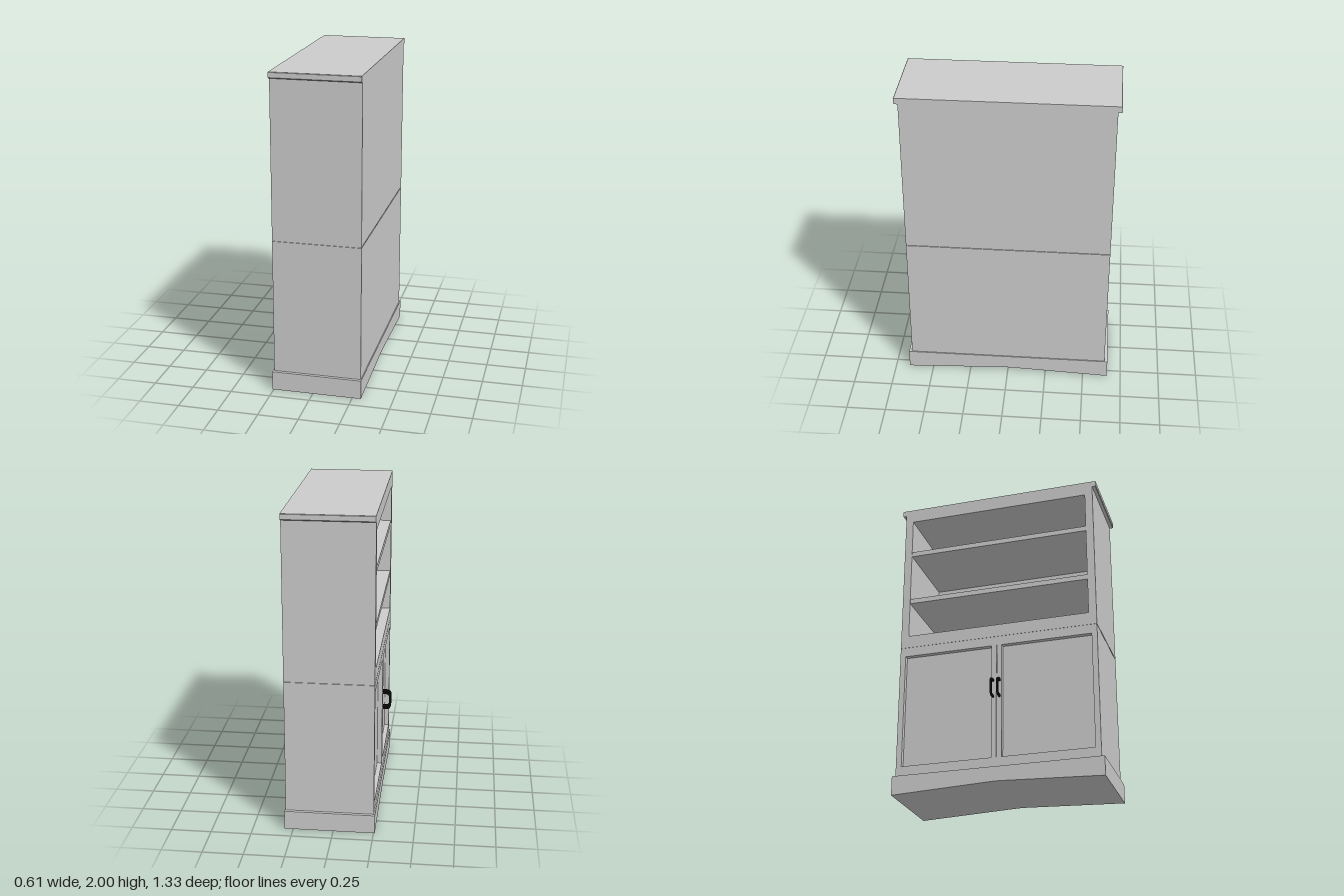
import * as THREE from 'three';

const FRONT = -0.25, BACK = 0.298, END = 0.64; // doors and shelves face -x

export function createModel() {
  const cabinet = new THREE.Group();
  cabinet.name = 'cabinet';
  const grey = new THREE.MeshStandardMaterial({ color: 0xcccccc });
  const black = new THREE.MeshStandardMaterial({ color: 0x111111 });

  const add = (name, geometry, material = grey) => {
    const mesh = new THREE.Mesh(geometry, material);
    mesh.name = name;
    cabinet.add(mesh);
    return mesh;
  };
  // Box given by its limits on each axis
  const box = (name, x0, x1, y0, y1, z0, z1) =>
    add(name, new THREE.BoxGeometry(x1 - x0, y1 - y0, z1 - z0)
      .translate((x0 + x1) / 2, (y0 + y1) / 2, (z0 + z1) / 2));
  // Counter-clockwise outline in z and y (alike in +z and -z), extruded from x0 to x1
  const polygon = (points) => points.map(([z, y]) => new THREE.Vector2(z, y));
  const slab = (name, x0, x1, outline, holes = []) => {
    const shape = new THREE.Shape(polygon(outline));
    holes.forEach((h) => shape.holes.push(new THREE.Path(polygon(h))));
    const geometry = new THREE.ExtrudeGeometry(shape, { depth: x1 - x0, bevelEnabled: false });
    return add(name, geometry.rotateY(Math.PI / 2).translate(x0, 0, 0));
  };
  const rect = (z0, z1, y0, y1) => [[z0, y0], [z1, y0], [z1, y1], [z0, y1]];

  // Plinth with a shallow arched underside
  slab('plinth', -0.258, 0.304, [
    [-0.66, 0], [-0.6, 0.003], [-0.02, 0.028], [0.02, 0.028], [0.6, 0.003], [0.66, 0],
    [0.66, 0.12], [-0.66, 0.12],
  ]);

  // Lower cupboard: solid carcass behind a door frame with sunken panels and a centre seam
  const recess = 0.03;
  box('lowerCarcass', FRONT + recess, BACK, 0.12, 0.97, -END, END);
  slab('doorFrame', FRONT, FRONT + recess, rect(-END, END, 0.12, 0.97), [
    rect(-0.605, -0.032, 0.18, 0.915),
    rect(-0.0015, 0.0015, 0.18, 0.915),
    rect(0.032, 0.605, 0.18, 0.915),
  ]);

  // Narrow groove between the two halves
  box('groove', FRONT + 0.002, BACK - 0.005, 0.97, 0.976, -END + 0.005, END - 0.005);

  // Upper bookcase: open case, back and shelves
  const inner = 0.59;
  slab('upperCase', FRONT, BACK - 0.02, rect(-END, END, 0.976, 1.962),
    [rect(-inner, inner, 1.058, 1.908)]);
  box('backPanel', BACK - 0.02, BACK, 0.976, 1.962, -END, END);
  for (const y of [1.293, 1.643])
    box('shelf', FRONT + 0.003, BACK - 0.02, y, y + 0.033, -inner, inner);

  // Top board overhanging both ends
  slab('topBoard', FRONT, BACK, [
    [-0.661, 1.962], [0.661, 1.962], [0.665, 1.967], [0.665, 1.997], [0.662, 2],
    [-0.662, 2], [-0.665, 1.997], [-0.665, 1.967],
  ]);

  // Pair of D-shaped flat pulls: outer curve out and inner curve back
  const root = FRONT + 0.005, tip = -0.306, low = 0.565, high = 0.685, r = 0.036, bar = 0.014;
  const pull = new THREE.Shape();
  pull.moveTo(root, low);
  pull.lineTo(tip + r, low);
  pull.quadraticCurveTo(tip, low, tip, low + r);
  pull.lineTo(tip, high - r);
  pull.quadraticCurveTo(tip, high, tip + r, high);
  pull.lineTo(root, high);
  pull.lineTo(root, high - bar);
  pull.lineTo(tip + r, high - bar);
  pull.quadraticCurveTo(tip + bar, high - bar, tip + bar, high - r);
  pull.lineTo(tip + bar, low + r);
  pull.quadraticCurveTo(tip + bar, low + bar, tip + r, low + bar);
  pull.lineTo(root, low + bar);
  const pullGeometry = new THREE.ExtrudeGeometry(pull, { depth: 0.011, bevelEnabled: false, curveSegments: 10 })
    .translate(0, 0, -0.0055);
  for (const z of [-0.022, 0.02])
    add('doorHandle', pullGeometry, black).position.z = z;

  return cabinet;
}
